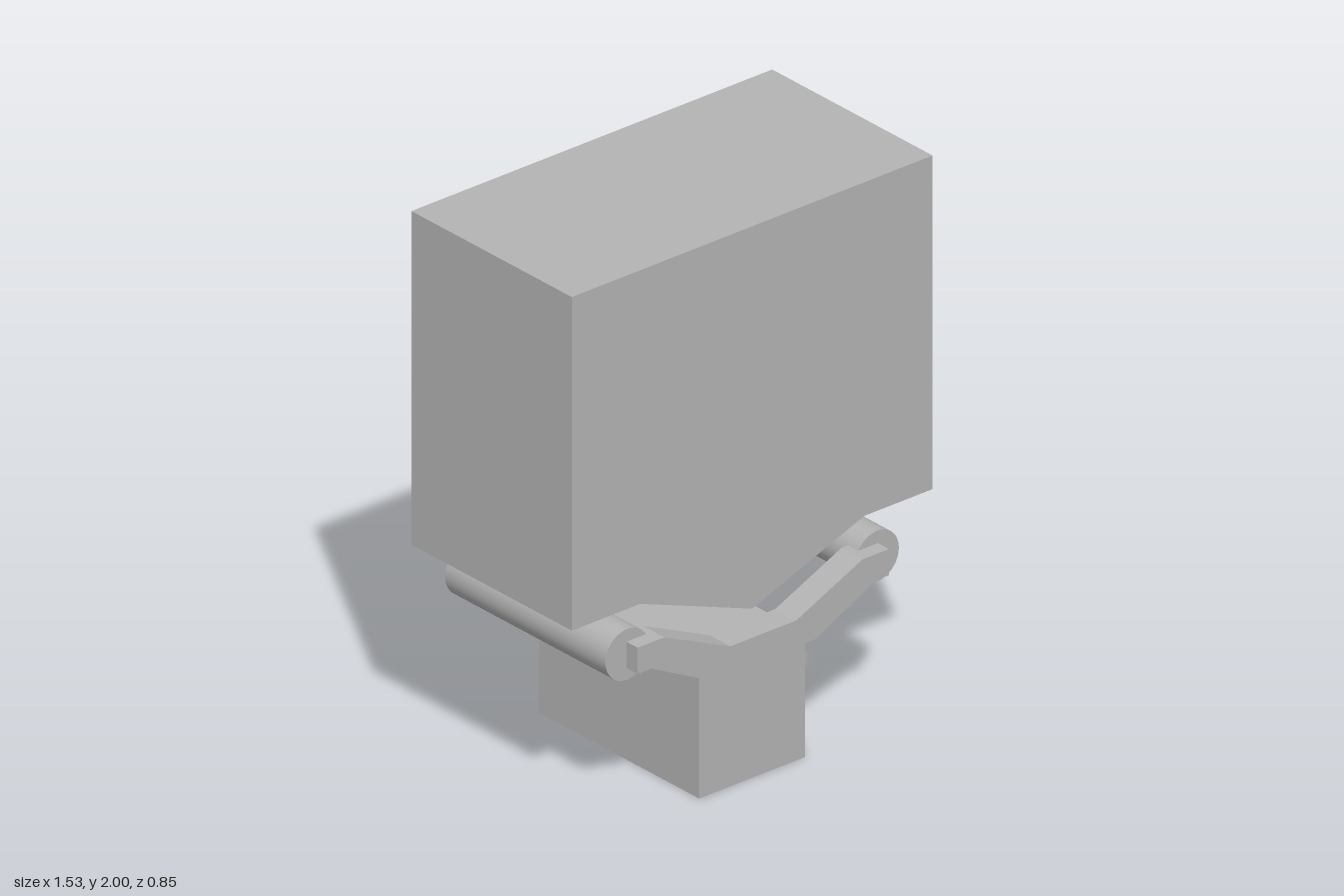
import * as THREE from 'three';

const BACK = -0.425, FRONT = 0.37;

export function createModel() {
  const group = new THREE.Group();
  const grey = new THREE.MeshStandardMaterial({ color: 0xb3b3b3 });
  grey.name = 'plain grey';

  const add = (name, geometry) => {
    const mesh = new THREE.Mesh(geometry, grey);
    mesh.name = name;
    group.add(mesh);
    return mesh;
  };

  // Extrudes a front outline between two depths
  const slab = (points, z0, z1) => {
    const shape = new THREE.Shape(points.map(([x, y]) => new THREE.Vector2(x, y)));
    return new THREE.ExtrudeGeometry(shape, { depth: z1 - z0, bevelEnabled: false }).translate(0, 0, z0);
  };

  // Mirrors the right half of an outline to close it
  const mirrored = (half) => [...half, ...half.map(([x, y]) => [-x, y]).reverse()];

  // Large block with a shallow V underneath
  add('upperBlock', slab([
    [0, 0.613], [0.475, 0.79], [0.765, 0.79], [0.765, 2],
    [-0.765, 2], [-0.765, 0.79], [-0.475, 0.79],
  ], BACK, FRONT));

  // Pedestal
  add('pedestal', slab(mirrored([[0.225, 0], [0.225, 0.45]]), BACK, FRONT));

  // Bent bracket joining the pedestal to both rollers
  add('bracket', slab(mirrored([
    [0.225, 0.45], [0.475, 0.577], [0.533, 0.577],
    [0.533, 0.672], [0.42, 0.672], [0.14, 0.545],
  ]), 0.32, 0.425));

  // Rollers on either side
  for (const [name, side] of [['leftRoller', 1], ['rightRoller', -1]]) {
    const roller = add(name, new THREE.CylinderGeometry(0.092, 0.092, FRONT - BACK, 48));
    roller.rotation.x = Math.PI / 2;
    roller.position.set(side * 0.53, 0.626, (FRONT + BACK) / 2);
  }

  return group;
}
